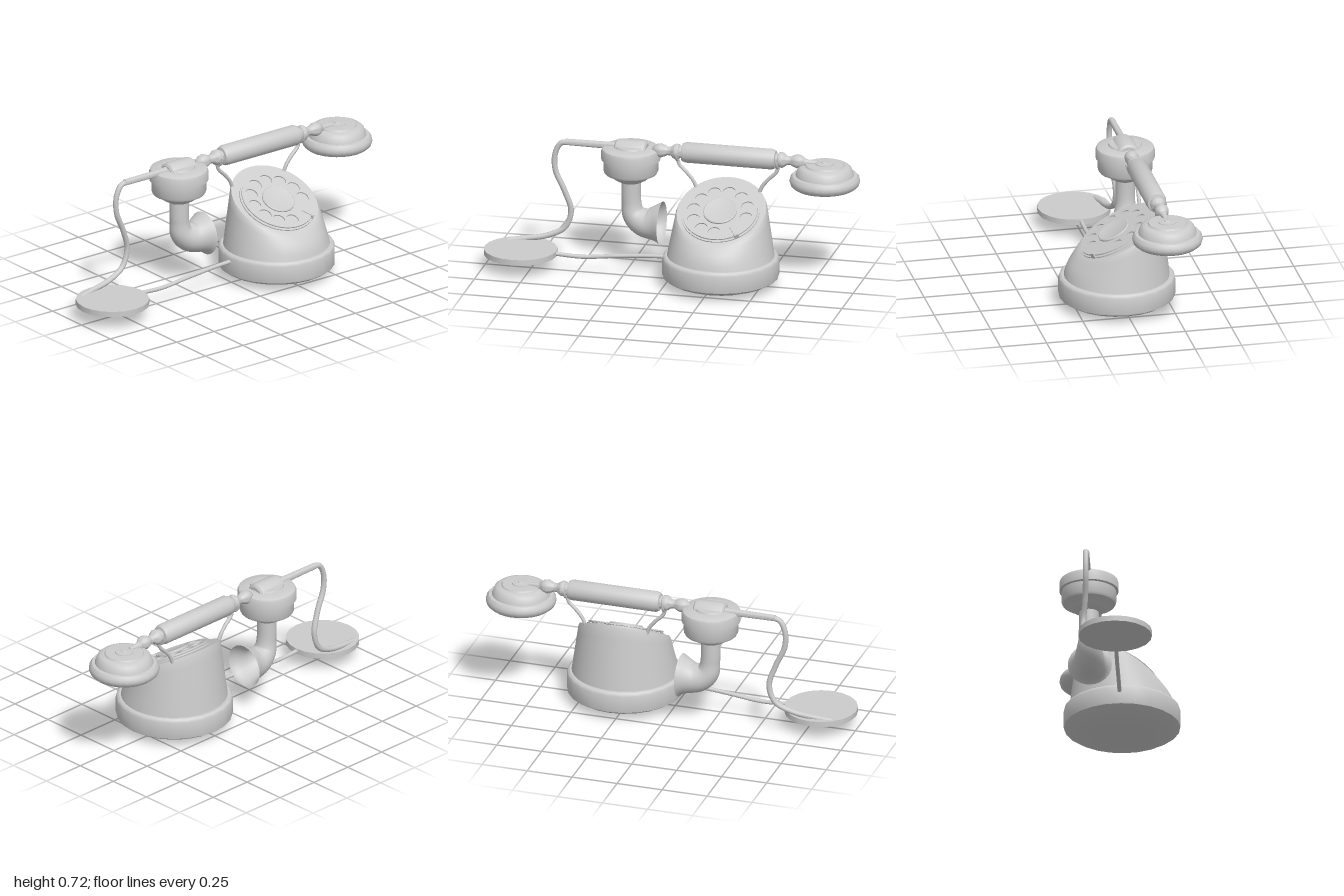
import * as THREE from 'three';
import { toCreasedNormals } from 'three/addons/utils/BufferGeometryUtils.js';

const grey = new THREE.MeshStandardMaterial({ color: 0xcccccc });
const greyOpen = new THREE.MeshStandardMaterial({ color: 0xcccccc, side: THREE.DoubleSide });
const { lerp } = THREE.MathUtils;
const v3 = (p) => new THREE.Vector3(...p);

function add(parent, name, geo, pos = [0, 0, 0], mat = grey) {
  const mesh = new THREE.Mesh(geo, mat);
  mesh.name = name;
  mesh.position.set(...pos);
  parent.add(mesh);
  return mesh;
}

// Turned part from [radius, height] pairs, listed bottom to top
function turned(profile, sides = 24, crease = 0.6) {
  const pts = profile.map(([r, y]) => new THREE.Vector2(r, y));
  return toCreasedNormals(new THREE.LatheGeometry(pts, sides), crease);
}

// Turned part lying along x
const turnedX = (profile, sides = 24) => turned(profile, sides).rotateZ(-Math.PI / 2);

function wire(points, radius, steps = 40, sides = 10) {
  return new THREE.TubeGeometry(new THREE.CatmullRomCurve3(points.map(v3)), steps, radius, sides);
}

// Cone whose top is cut by the sloping dial face
function bodyGeometry() {
  const rows = [[1, 0], [1, 0.2], [1, 0.4], [1, 0.6], [1, 0.8], [1, 0.93], [0.98, 1], [0, 1]];
  const geo = new THREE.LatheGeometry(rows.map(([s, t]) => new THREE.Vector2(s, t)), 40);
  const pos = geo.attributes.position;
  for (let i = 0; i < pos.count; i++) {
    const dx = pos.getX(i), t = pos.getY(i), dz = pos.getZ(i);
    const bulge = 0.015 * Math.sin(Math.PI * t) * Math.max(0, dz);
    const topY = 0.405 - 0.534 * 0.22 * dz;
    pos.setXYZ(i,
      dx * lerp(0.285, 0.243, t),
      lerp(0.165, topY, t),
      lerp(0.02, 0.005, t) + dz * (lerp(0.28, 0.222, t) + bulge));
  }
  return toCreasedNormals(geo, 0.5);
}

// Flat wheel with finger holes, leaving a gap at the lower right
function fingerWheel() {
  const shape = new THREE.Shape().absarc(0, 0, 0.2, 0, Math.PI * 2);
  for (let i = 0; i < 10; i++) {
    const a = THREE.MathUtils.degToRad(-10 + i * 31);
    shape.holes.push(new THREE.Path().absarc(0.147 * Math.cos(a), 0.147 * Math.sin(a), 0.034, 0, Math.PI * 2, true));
  }
  return new THREE.ExtrudeGeometry(shape, { depth: 0.007, bevelEnabled: false, curveSegments: 20 })
    .rotateX(-Math.PI / 2);
}

// Bent tube that swells into a bell
function hornGeometry() {
  const path = new THREE.CatmullRomCurve3([
    [-0.24, 0.5, -0.14], [-0.24, 0.37, -0.14], [-0.225, 0.295, -0.14],
    [-0.17, 0.255, -0.14], [-0.075, 0.255, -0.14]].map(v3));
  const steps = 32, sides = 24;
  const geo = new THREE.TubeGeometry(path, steps, 1, sides);
  const pos = geo.attributes.position, p = new THREE.Vector3();
  for (let i = 0; i <= steps; i++) {
    const t = i / steps, c = path.getPointAt(t);
    const r = 0.052 + 0.03 * THREE.MathUtils.smoothstep(t, 0.35, 0.85) + 0.035 * Math.max(0, (t - 0.75) / 0.25) ** 2;
    for (let j = 0; j <= sides; j++) {
      const k = i * (sides + 1) + j;
      p.fromBufferAttribute(pos, k).sub(c).multiplyScalar(r).add(c);
      pos.setXYZ(k, p.x, p.y, p.z);
    }
  }
  return toCreasedNormals(geo, 0.7);
}

export function createModel() {
  const model = new THREE.Group();
  model.name = 'telephone';
  const cx = 0.285, hz = -0.14;

  // Base and sloping body
  add(model, 'base', turned([[0, 0], [0.16, 0], [0.225, 0.013], [0.28, 0.034], [0.308, 0.052], [0.31, 0.06],
    [0.31, 0.145], [0.305, 0.158], [0.295, 0.165], [0, 0.165]], 24), [cx, 0, 0.02]);
  add(model, 'body', bodyGeometry(), [cx, 0, 0]);

  // Dial, lying on the sloping face
  const dial = new THREE.Group();
  dial.name = 'dial';
  dial.position.set(cx, 0.394, 0.025);
  dial.rotation.x = Math.atan(0.534);
  model.add(dial);
  add(dial, 'dialPlate', turned([[0, -0.005], [0.208, -0.005], [0.208, 0.007], [0, 0.007]], 40));
  add(dial, 'fingerWheel', fingerWheel(), [0, 0.012, 0]);
  add(dial, 'dialCentre', turned([[0.09, 0], [0.09, 0.026], [0.085, 0.03], [0.078, 0.028], [0, 0.028]], 32));
  const stop = new THREE.Group();
  stop.name = 'fingerStop';
  stop.rotation.y = 0.65;
  dial.add(stop);
  add(stop, 'stopPost', new THREE.BoxGeometry(0.026, 0.03, 0.016), [0, 0.012, 0.2]);
  add(stop, 'stopBlade', new THREE.BoxGeometry(0.02, 0.004, 0.07), [0, 0.028, 0.172]);

  // Cradle hooks, mirrored about the body
  for (const s of [-1, 1]) {
    const hook = [[0.165, 0.45], [0.185, 0.505], [0.22, 0.55], [0.262, 0.592], [0.273, 0.622]]
      .map(([x, y]) => [cx + s * x, y, hz]);
    add(model, 'cradleArm', wire(hook, 0.01, 24, 8));
    const fork = add(model, 'cradleFork', new THREE.TorusGeometry(0.047, 0.007, 8, 20, Math.PI), [cx + s * 0.273, 0.668, hz]);
    fork.rotation.set(Math.PI, Math.PI / 2, 0);
  }

  // Handset grip with turned beads at both ends
  const half = [[0.055, 0.235], [0.047, 0.253], [0.033, 0.256], [0.033, 0.268], [0.04, 0.272], [0.042, 0.29],
    [0.036, 0.302], [0.025, 0.315], [0.023, 0.335], [0.03, 0.348], [0.038, 0.37], [0.034, 0.392], [0.018, 0.415], [0, 0.425]];
  const left = half.map(([r, x]) => [r, -x]).reverse();
  add(model, 'handle', turnedX([...left, ...half]), [cx + 0.007, 0.665, hz]);

  // Earpiece and its arm
  add(model, 'earpiece', turned([[0, 0.528], [0.14, 0.528], [0.165, 0.535], [0.182, 0.55], [0.187, 0.567], [0.184, 0.585],
    [0.172, 0.6], [0.155, 0.602], [0.153, 0.61], [0.142, 0.637], [0.128, 0.649], [0.105, 0.652], [0.1, 0.66],
    [0, 0.664]], 28), [0.812, 0, hz]);
  add(model, 'earpieceCap', turned([[0.05, 0.655], [0.048, 0.666], [0.018, 0.668], [0.015, 0.673], [0, 0.674]]), [0.812, 0, hz]);
  add(model, 'earpieceArm', turnedX([[0.028, 0.68], [0.018, 0.72], [0.013, 0.77], [0, 0.775]], 16), [0, 0.661, hz]);

  // Mouthpiece cup, cap block and horn
  add(model, 'mouthpieceCup', turned([[0, 0.478], [0.06, 0.48], [0.09, 0.497], [0.118, 0.52], [0.138, 0.527], [0.145, 0.54],
    [0.145, 0.6], [0.157, 0.604], [0.157, 0.65], [0.152, 0.663], [0.14, 0.67], [0.09, 0.673], [0.085, 0.683], [0, 0.684]], 28),
    [-0.243, 0, hz]);
  add(model, 'capBlock', turnedX([[0, -0.085], [0.052, -0.085], [0.063, -0.077], [0.067, -0.062],
    [0.067, 0.062], [0.063, 0.077], [0.052, 0.085], [0, 0.085]]), [-0.24, 0.642, hz]);
  add(model, 'horn', hornGeometry(), [0, 0, 0], greyOpen);

  // Handset cord, wall disc and base cord
  add(model, 'cordSleeve', turnedX([[0, -0.6], [0.017, -0.6], [0.019, -0.36], [0.022, -0.31], [0, -0.31]], 14), [0, 0.668, -0.145]);
  add(model, 'handsetCord', wire([[-0.58, 0.668, -0.145], [-0.625, 0.658, -0.145], [-0.655, 0.6, -0.145], [-0.655, 0.51, -0.145],
    [-0.605, 0.39, -0.15], [-0.573, 0.28, -0.16], [-0.605, 0.185, -0.16], [-0.7, 0.135, -0.148],
    [-0.82, 0.113, -0.135], [-0.91, 0.1, -0.12]], 0.015, 70));
  add(model, 'disc', new THREE.CylinderGeometry(0.195, 0.195, 0.03, 20), [-0.805, 0.094, 0.015]);
  add(model, 'baseCord', wire([[-0.63, 0.095, 0.015], [-0.47, 0.089, 0.015], [-0.3, 0.107, 0.015],
    [-0.12, 0.123, 0.015], [0.0, 0.128, 0.015]], 0.011));
  return model;
}
